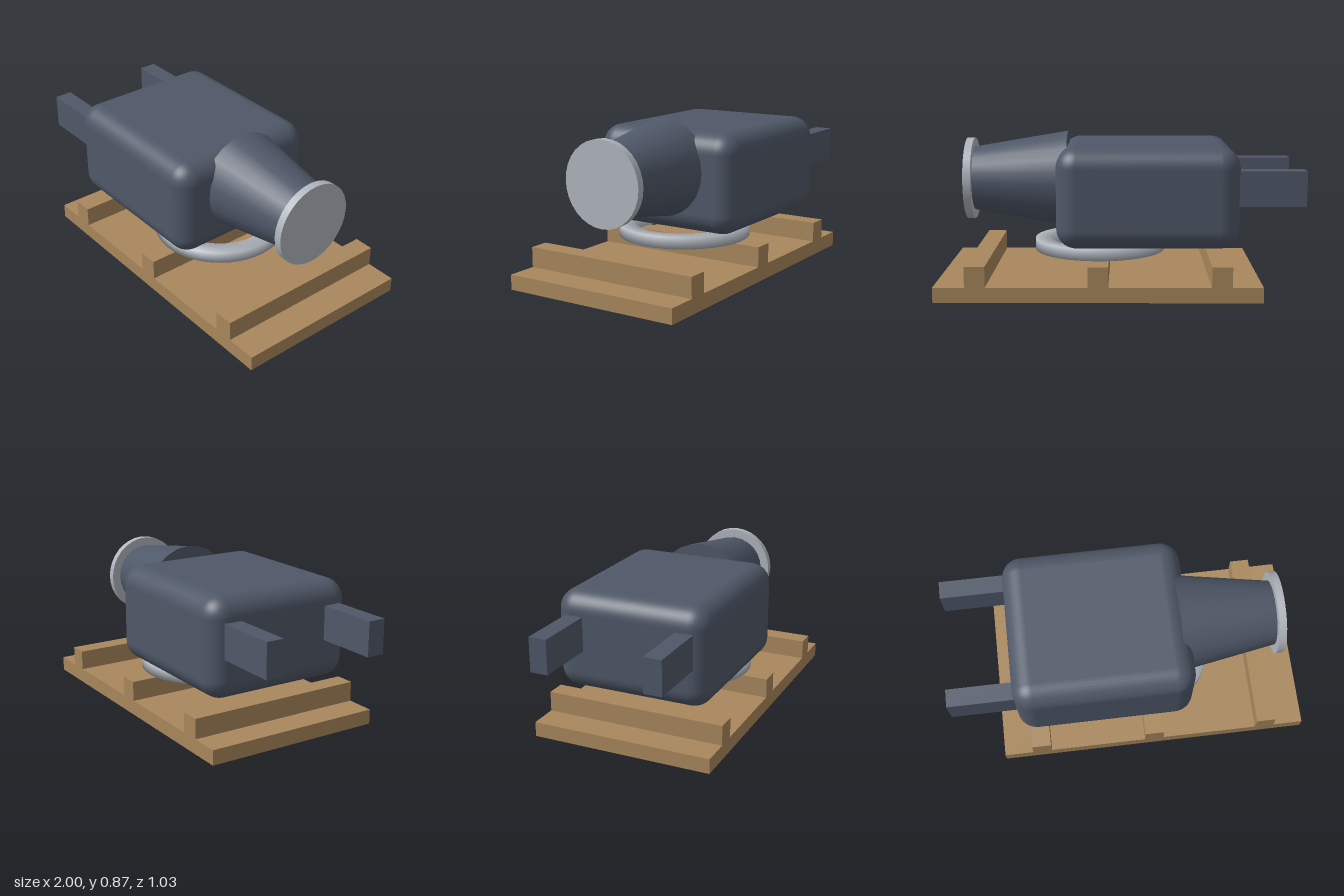
import * as THREE from 'three';
import { RoundedBoxGeometry } from 'three/addons/geometries/RoundedBoxGeometry.js';

const mat = (name, color) => {
  const m = new THREE.MeshStandardMaterial({ color });
  m.name = name;
  return m;
};

export function createModel() {
  const slate = mat('slate', 0x4f5868);
  const metal = mat('metal', 0xb0b5bd);
  const wood = mat('wood', 0xa8875c);
  const model = new THREE.Group();

  const add = (name, geometry, material, x, y, z = 0) => {
    const mesh = new THREE.Mesh(geometry, material);
    mesh.name = name;
    mesh.position.set(x, y, z);
    model.add(mesh);
    return mesh;
  };

  // Wooden base with three cross ribs
  add('baseBoard', new THREE.BoxGeometry(1.76, 0.083, 1.026), wood, 0.12, 0.0415);
  for (const x of [-0.54, 0.12, 0.775])
    add('baseRib', new THREE.BoxGeometry(0.11, 0.112, 1.026), wood, x, 0.139);

  // Flat turntable ring with softly shaded rim
  const [inner, outer, low, high] = [0.28, 0.37, 0.195, 0.26];
  const profile = [[inner, low], [outer, low], [outer, high], [inner, high], [inner, low]]
    .map(([r, y]) => new THREE.Vector2(r, y));
  add('turntableRing', new THREE.LatheGeometry(profile, 48), metal, 0.12, 0);

  // Rounded housing
  add('housing', new RoundedBoxGeometry(0.995, 0.55, 0.88, 6, 0.11), slate, -0.147, 0.535);

  // Tapered nozzle and end cap along +x
  const along = (geometry) => geometry.rotateZ(-Math.PI / 2);
  add('nozzle', along(new THREE.CylinderGeometry(0.18, 0.27, 0.53, 24)), slate, 0.565, 0.6);
  add('endCap', along(new THREE.CylinderGeometry(0.23, 0.23, 0.042, 32)), metal, 0.85, 0.6);

  // Pair of rear arms
  for (const side of [1, -1])
    add(side > 0 ? 'frontArm' : 'backArm', new THREE.BoxGeometry(0.4, 0.19, 0.1), slate, -0.8, 0.59, side * 0.316);

  return model;
}
